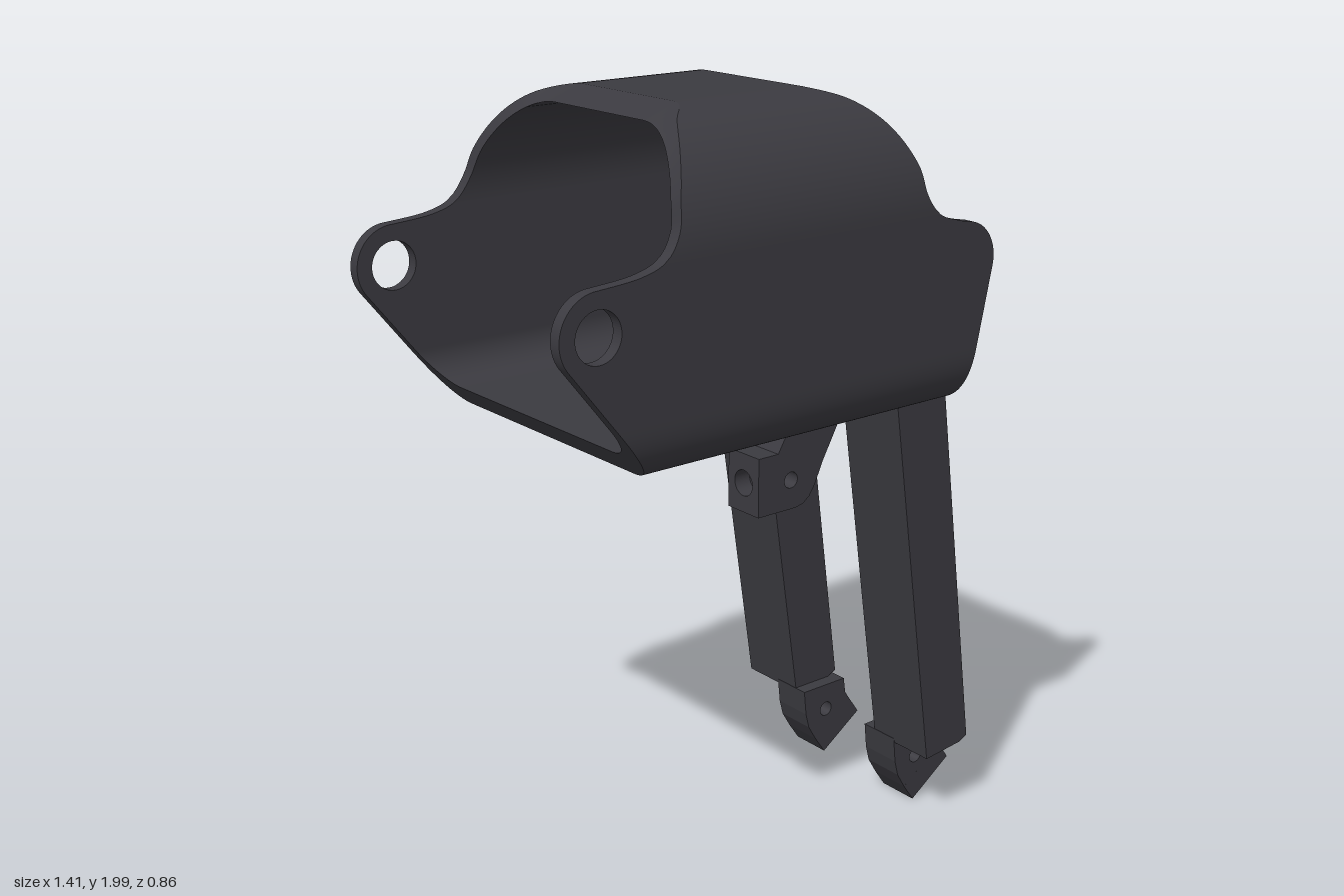
import * as THREE from 'three';
import { mergeGeometries } from 'three/addons/utils/BufferGeometryUtils.js';

const V = (x, y) => new THREE.Vector2(x, y);
const charcoal = new THREE.MeshStandardMaterial({ color: 0x3b3a40 });
charcoal.name = 'charcoal';

const LOW = 1.36, HIGH = 1.71; // heights between which the side walls are flat

// Shoulder curves of the cuff outline, from lug top to crown
const leftShoulder = [V(-0.61, 1.68), V(-0.5, 1.69), V(-0.43, 1.715), V(-0.39, 1.77), V(-0.37, 1.84), V(-0.33, 1.92), V(-0.28, 1.975), V(-0.21, 2)];
const rightShoulder = [V(0.5, 1.677), V(0.45, 1.687), V(0.385, 1.71), V(0.345, 1.76), V(0.33, 1.83), V(0.285, 1.92), V(0.23, 1.975), V(0.165, 2)];
const leftCurve = new THREE.SplineCurve(leftShoulder).getPoints(160);
const rightCurve = new THREE.SplineCurve(rightShoulder).getPoints(160);

function edgeAt(curve, y) {
  for (let i = 1; i < curve.length; i++) {
    const a = curve[i - 1], b = curve[i];
    if (b.y >= y && b.y > a.y) return a.x + (b.x - a.x) * Math.max(0, (y - a.y) / (b.y - a.y));
  }
  return curve[curve.length - 1].x;
}
const xLeft = y => y < 1.5 ? -0.45 - (y - 1.22) * 0.8 : edgeAt(leftCurve, y);
const xRight = y => y < 1.5 ? 0.5 + (y - 1.22) * 0.22 : edgeAt(rightCurve, y);

// Smooth strip of quads between two point rows
function strip(a, b) {
  const pos = [], index = [], n = a.length;
  for (const p of [...a, ...b]) pos.push(...p);
  for (let i = 0; i < n - 1; i++) index.push(i, n + i, n + i + 1, i, n + i + 1, i + 1);
  const g = new THREE.BufferGeometry();
  g.setAttribute('position', new THREE.Float32BufferAttribute(pos, 3));
  g.setIndex(index);
  g.computeVertexNormals();
  return g;
}

// Two mirrored corner arcs joined by a flat, as [z, y] points
function arch(cz, cy, a, b, power) {
  const pts = [], n = 32;
  for (let i = 0; i <= n; i++) {
    const t = i / n * Math.PI / 2;
    pts.push([cz + a * Math.max(0, Math.cos(t)) ** power, cy + b * Math.sin(t) ** power]);
  }
  return [...pts, ...pts.slice().reverse().map(([z, y]) => [-z, y])];
}

// Curved shell piece: skins plus the trimmed rims
function shell(outer, inner) {
  const row = (pts, fx) => pts.map(([z, y]) => [fx(y), y, z]);
  const oL = row(outer, xLeft), oR = row(outer, xRight);
  const iL = row(inner, xLeft), iR = row(inner, xRight);
  return mergeGeometries([strip(oL, oR), strip(iR, iL), strip(iL, oL), strip(oR, iR)]);
}

function extrude(shape, z, depth) {
  const g = new THREE.ExtrudeGeometry(shape, { depth, bevelEnabled: false, curveSegments: 32 });
  return g.translate(0, 0, z);
}

function plate(points, hole) {
  const s = new THREE.Shape(points.map(([x, y]) => V(x, y)));
  if (hole) s.holes.push(new THREE.Path().absarc(hole[0], hole[1], hole[2], 0, Math.PI * 2, true));
  return s;
}

// Block with a bore along its own axis, which points along (dx, dy)
function boredBlock(x, y, z, dx, dy, width, thick, depth, bore) {
  const w = width / 2, t = thick / 2;
  const g = extrude(plate([[-w, -t], [w, -t], [w, t], [-w, t]], [0, 0, bore]), 0, depth);
  const d = new THREE.Vector3(dx, dy, 0).normalize();
  const m = new THREE.Matrix4().makeBasis(new THREE.Vector3(-d.y, d.x, 0), new THREE.Vector3(0, 0, 1), d);
  return g.applyMatrix4(m.setPosition(x, y, z));
}

export function createModel() {
  const model = new THREE.Group();
  const add = (name, geometry) => {
    const mesh = new THREE.Mesh(geometry, charcoal);
    mesh.name = name;
    model.add(mesh);
    return mesh;
  };

  // Crown and floor of the cuff
  add('crown', shell(arch(0.17, HIGH, 0.262, 0.29, 1), arch(0.17, HIGH, 0.23, 0.255, 1)));
  const down = pts => pts.reverse();
  add('floor', shell(
    down(arch(0.33, LOW, 0.102, -0.14, 0.85)),
    down(arch(0.31, LOW, 0.09, -0.085, 1))));

  // Flat side walls with rounded lugs; the pivot hole is at the -x lug
  const wall = new THREE.Shape();
  wall.moveTo(xLeft(LOW), LOW);
  wall.lineTo(xRight(LOW), LOW);
  wall.absarc(0.475, 1.58, 0.1, -0.22, 1.32, false);
  for (const p of rightCurve) if (p.y < HIGH) wall.lineTo(p.x, p.y);
  wall.lineTo(xRight(HIGH), HIGH);
  wall.lineTo(xLeft(HIGH), HIGH);
  for (const p of leftCurve.slice(1).reverse()) if (p.y < HIGH) wall.lineTo(p.x, p.y);
  wall.absarc(-0.61, 1.58, 0.1, Math.PI / 2, Math.PI * 1.21, false);
  wall.holes.push(new THREE.Path().absarc(-0.61, 1.58, 0.06, 0, Math.PI * 2, true));

  // Pivot peg with a raised lip
  const pegProfile = [V(0.05, -0.005), V(0.05, 0.03), V(0.058, 0.035), V(0.058, 0.05), V(0.052, 0.056), V(0.052, 0.056), V(0, 0.056)];

  const leg = plate([[0.335, 1.235], [0.493, 0.21], [0.615, 0.222], [0.643, 0.235], [0.5, 1.235]]);
  const eye = plate([[0.49, 0.222], [0.498, 0.15], [0.51, 0.105], [0.537, 0.06], [0.667, 0.15], [0.65, 0.175], [0.643, 0.222]],
    [0.575, 0.145, 0.021]);

  for (const side of [1, -1]) {
    const name = side > 0 ? 'front' : 'back';
    const slab = (shape, near, far) => extrude(shape, side > 0 ? near : -far, far - near);
    add(name + 'Wall', slab(wall, 0.4, 0.432));
    const peg = add(name + 'Peg', new THREE.LatheGeometry(pegProfile, 40));
    peg.rotation.x = -side * Math.PI / 2;
    peg.position.set(0.475, 1.58, side * 0.4);
    add(name + 'Leg', slab(leg, 0.163, 0.363));
    add(name + 'FootEye', slab(eye, 0.125, 0.24));
    add(name + 'FootEnd', boredBlock(0.602, 0.105, side * 0.1825, 0.57, -0.82, 0.158, 0.115, 0.061, 0.038));
  }

  // Centre bracket under the floor
  add('bracket', extrude(plate([[0.2, 1.05], [0.2, 0.89], [0.275, 0.89], [0.302, 0.895], [0.325, 0.912], [0.343, 0.94],
    [0.37, 1], [0.495, 1.23], [0.32, 1.23], [0.215, 1.05]], [0.26, 0.97, 0.022]), -0.06, 0.12));
  add('bracketEnd', boredBlock(0.2, 0.97, 0, -1, 0, 0.16, 0.12, 0.05, 0.035));

  return model;
}
